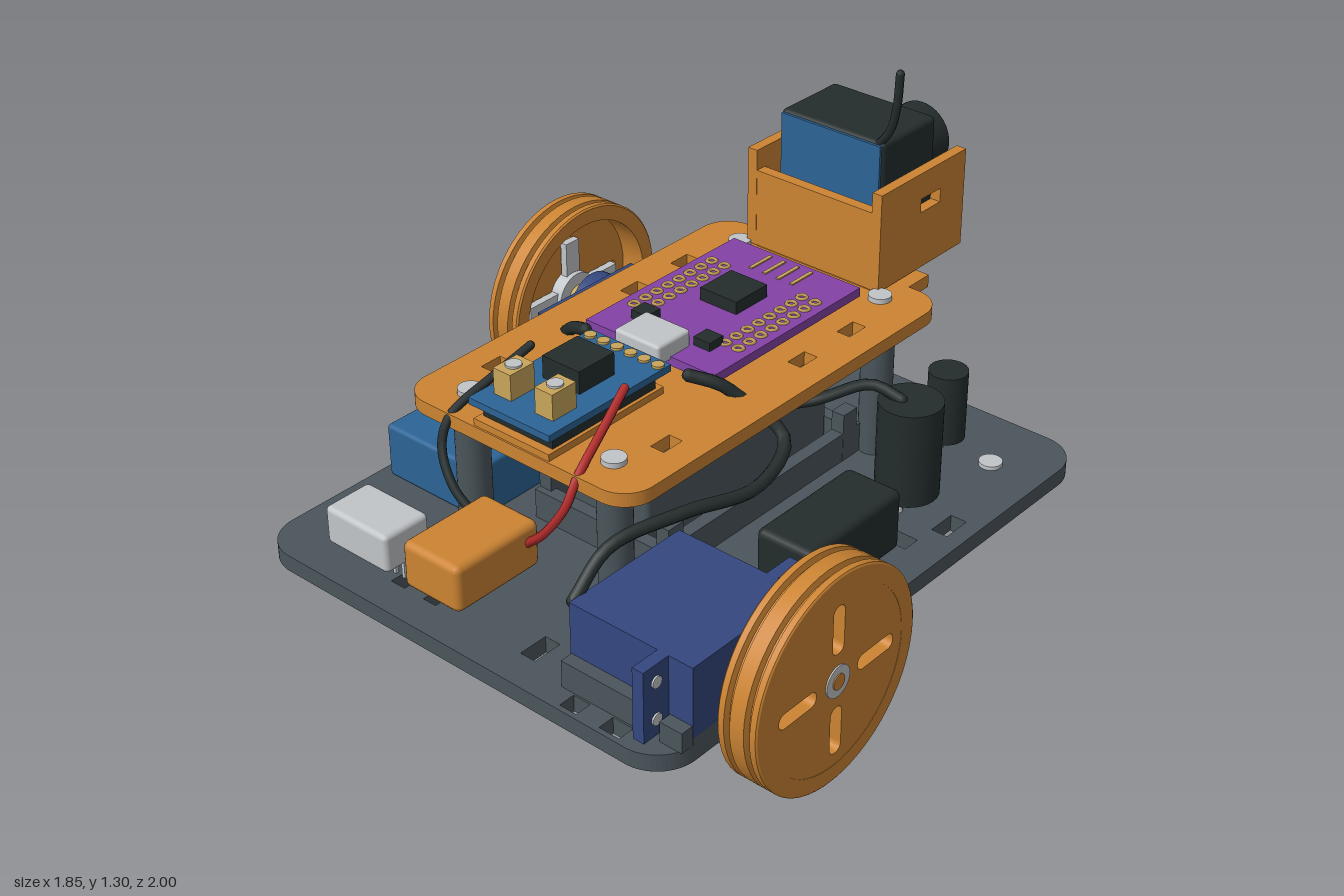
import * as THREE from 'three';
import { toCreasedNormals } from 'three/addons/utils/BufferGeometryUtils.js';
import { RoundedBoxGeometry } from 'three/addons/geometries/RoundedBoxGeometry.js';

const mat = (name, color) => Object.assign(new THREE.MeshStandardMaterial({ color }), { name });
const orange = mat('orange plastic', 0xcc8433), grey = mat('slate grey', 0x4a555b);
const black = mat('black', 0x242c2c), navy = mat('navy', 0x34477f);
const blue = mat('blue', 0x2c6496), purple = mat('purple', 0x8343a6);
const gold = mat('gold', 0xc9a55a), silver = mat('light grey', 0xc2c5c8), red = mat('red', 0xb02a2a);

export function createModel() {
  const root = new THREE.Group();
  root.name = 'roverRobot';

  function add(name, geo, material, parent = root) {
    const m = new THREE.Mesh(geo, material);
    m.name = name;
    parent.add(m);
    return m;
  }
  // Box given by its limits on each axis, optionally with rounded edges
  function box(name, material, x0, x1, y0, y1, z0, z1, r = 0, parent = root) {
    const s = [x1 - x0, y1 - y0, z1 - z0];
    const geo = r ? new RoundedBoxGeometry(...s, 2, r) : new THREE.BoxGeometry(...s);
    geo.translate((x0 + x1) / 2, (y0 + y1) / 2, (z0 + z1) / 2);
    return add(name, geo, material, parent);
  }
  function post(name, material, x, z, y0, y1, r, seg = 28, parent = root) {
    const geo = new THREE.CylinderGeometry(r, r, y1 - y0, seg);
    return add(name, geo.translate(x, (y0 + y1) / 2, z), material, parent);
  }
  function wire(name, material, r, ...pts) {
    const curve = new THREE.CatmullRomCurve3(pts.map(p => new THREE.Vector3(...p)));
    add(name, new THREE.TubeGeometry(curve, 36, r, 8), material);
    for (const p of [pts[0], pts[pts.length - 1]]) {
      add(name + 'End', new THREE.SphereGeometry(r, 8, 6).translate(...p), material);
    }
  }
  // Rectangle outline with rounded corners
  function outline(path, x0, x1, y0, y1, r) {
    path.moveTo(x0 + r, y0).lineTo(x1 - r, y0);
    path.absarc(x1 - r, y0 + r, r, -Math.PI / 2, 0);
    path.absarc(x1 - r, y1 - r, r, 0, Math.PI / 2);
    path.absarc(x0 + r, y1 - r, r, Math.PI / 2, Math.PI);
    path.absarc(x0 + r, y0 + r, r, Math.PI, Math.PI * 1.5);
    return path;
  }
  const rectHole = (x0, x1, y0, y1) => new THREE.Path([[x0, y0], [x0, y1], [x1, y1], [x1, y0], [x0, y0]]
    .map(p => new THREE.Vector2(...p)));
  // Horizontal plate; holes are [x0, x1, z0, z1]
  function plate(name, material, x0, x1, z0, z1, r, y0, y1, holes) {
    const shape = outline(new THREE.Shape(), x0, x1, -z1, -z0, r);
    for (const h of holes) shape.holes.push(rectHole(h[0], h[1], -h[3], -h[2]));
    const geo = new THREE.ExtrudeGeometry(shape, { depth: y1 - y0, bevelEnabled: false, curveSegments: 8 });
    return add(name, geo.rotateX(-Math.PI / 2).translate(0, y0, 0), material);
  }

  // Chassis
  plate('basePlate', grey, -0.72, 0.72, -0.84, 0.96, 0.12, 0.14, 0.19, [
    [-0.58, -0.47, -0.72, -0.67], [-0.57, -0.51, -0.63, -0.57], [-0.45, -0.39, -0.63, -0.57],
    [-0.53, -0.47, -0.08, -0.02], [-0.42, -0.36, -0.08, -0.02], [-0.715, -0.685, 0.25, 0.34],
    [0.52, 0.62, -0.185, -0.13], [0.62, 0.67, -0.34, -0.25], [0.62, 0.67, 0.04, 0.13],
    [0.51, 0.56, 0.34, 0.39], [0.38, 0.43, 0.34, 0.39], [-0.31, -0.26, 0.77, 0.86], [-0.19, -0.145, 0.77, 0.86],
    [0.16, 0.21, 0.77, 0.86], [0.375, 0.43, 0.895, 0.945], [0.505, 0.57, 0.895, 0.945],
  ]);
  const slots = [];
  for (const z of [-0.33, -0.12, 0.42]) slots.push([-0.32, -0.278, z, z + 0.07], [0.272, 0.315, z, z + 0.07]);
  plate('upperDeck', orange, -0.395, 0.395, -0.585, 0.71, 0.09, 0.63, 0.67, slots);
  box('deckTail', orange, -0.27, 0.27, 0.631, 0.669, -0.68, -0.58);
  for (const x of [-0.25, 0.25]) for (const z of [-0.48, 0.6]) {
    post('standoff', grey, x, z, 0.19, 0.63, 0.047);
    post('deckBolt', silver, x, z, 0.67, 0.685, 0.033);
  }

  // Ball casters on opposite corners
  for (const [x, z] of [[-0.56, 0.745], [0.555, -0.62]]) {
    post('casterCup', black, x, z, 0.1, 0.14, 0.095);
    add('casterBall', new THREE.SphereGeometry(0.088, 28, 18).translate(x, 0.093, z), black);
    post('casterBolt', silver, x, z, 0.19, 0.202, 0.034);
  }

  // Drive units: servo, bracket, horn and wheel, mirrored across x
  const rimProfile = [[0.255, 0], [0.3, 0], [0.305, 0.005], [0.305, 0.022], [0.288, 0.026], [0.288, 0.036], [0.305, 0.04],
    [0.305, 0.082], [0.288, 0.086], [0.288, 0.096], [0.305, 0.1], [0.305, 0.117], [0.3, 0.12], [0.255, 0.12], [0.255, 0]];
  function driveUnit(s, zAxis) {
    const g = new THREE.Group();
    g.name = s > 0 ? 'leftDrive' : 'rightDrive';
    g.position.z = zAxis;
    root.add(g);
    const part = (name, m, x0, x1, ...rest) =>
      box(name, m, Math.min(s * x0, s * x1), Math.max(s * x0, s * x1), ...rest, 0, g);
    const disc = (name, m, x0, x1, r, y = 0.31) => add(name, new THREE.CylinderGeometry(r, r, x1 - x0, 28)
      .rotateZ(Math.PI / 2).translate(s * (x0 + x1) / 2, y, 0), m, g);
    part('servoBody', navy, 0.325, 0.72, 0.21, 0.42, -0.11, 0.295);
    part('servoFlange', navy, 0.61, 0.645, 0.21, 0.42, -0.2, 0.385);
    disc('servoGearCap', navy, 0.71, 0.778, 0.1);
    for (const z of [-0.155, 0.34]) for (const y of [0.26, 0.37]) {
      add('flangeScrew', new THREE.CylinderGeometry(0.017, 0.017, 0.045, 12)
        .rotateZ(Math.PI / 2).translate(s * 0.6275, y, z), silver, g);
    }
    for (const [z0, z1] of [[-0.15, -0.112], [0.297, 0.335]]) {
      part('servoBracket', grey, 0.33, 0.605, 0.19, 0.27, z0, z1);
      part('servoBracketEnd', grey, 0.65, 0.72, 0.19, 0.25, z0, z1);
    }
    part('servoBase', grey, 0.33, 0.72, 0.19, 0.21, -0.11, 0.295);
    disc('servoShaft', gold, 0.77, 0.89, 0.036);

    // Wheel: hollow grooved rim closed by a slotted outer disc
    const wheel = new THREE.Group();
    wheel.name = 'wheel';
    wheel.position.set(s * 0.8, 0.31, 0);
    wheel.rotation.y = s * Math.PI / 2;
    g.add(wheel);
    const rim = new THREE.LatheGeometry(rimProfile.map(p => new THREE.Vector2(...p)), 56).rotateX(Math.PI / 2);
    add('wheelRim', toCreasedNormals(rim, 0.5), orange, wheel);
    const face = new THREE.Shape().absarc(0, 0, 0.26, 0, Math.PI * 2);
    for (const d of [-1, 1]) {
      const [a, b] = d > 0 ? [0.08, 0.22] : [-0.22, -0.08];
      face.holes.push(outline(new THREE.Path(), a, b, -0.022, 0.022, 0.02));
      face.holes.push(outline(new THREE.Path(), -0.022, 0.022, a, b, 0.02));
    }
    const faceGeo = new THREE.ExtrudeGeometry(face, { depth: 0.035, bevelEnabled: false, curveSegments: 28 });
    add('wheelFace', faceGeo.translate(0, 0, 0.084), orange, wheel);
    box('hornArm', silver, -0.19, 0.19, -0.028, 0.028, 0.055, 0.08, 0, wheel);
    box('hornArm', silver, -0.028, 0.028, -0.18, 0.18, 0.056, 0.079, 0, wheel);
    disc('hornHub', silver, 0.84, 0.882, 0.075);
    disc('hubCap', silver, 0.9, 0.923, 0.045);
    disc('hubScrew', orange, 0.92, 0.926, 0.022);
  }
  driveUnit(1, 0.555);
  driveUnit(-1, -0.42);

  // Battery and its cradle
  box('battery', grey, -0.14, 0.14, 0.19, 0.48, -0.4, 0.36, 0.015);
  for (const s of [-1, 1]) {
    const x = s * 0.21;
    box('cradleSide', grey, x - 0.02, x + 0.02, 0.19, 0.28, -0.42, 0.38);
    for (const z of [-0.42, 0.32]) box('cradlePost', grey, x - 0.021, x + 0.021, 0.19, 0.34, z, z + 0.06);
  }
  for (const z of [-0.44, 0.36]) box('cradleEnd', grey, -0.23, 0.23, 0.19, 0.28, z, z + 0.04);

  // Components on the chassis
  box('blueModule', blue, -0.685, -0.33, 0.19, 0.355, 0.07, 0.515, 0.012);
  box('whiteConnector', silver, -0.495, -0.265, 0.255, 0.37, 0.755, 0.91, 0.015);
  for (let i = 0; i < 6; i++) box('connectorPin', silver, -0.47 + i * 0.034, -0.46 + i * 0.034, 0.19, 0.26, 0.82, 0.83);
  box('orangePlug', orange, -0.1, 0.095, 0.35, 0.487, 0.71, 1, 0.02);
  box('blackModule', black, 0.43, 0.61, 0.195, 0.38, -0.12, 0.27, 0.02);
  post('largeCapacitor', black, 0.5, -0.295, 0.245, 0.53, 0.09);
  post('smallCapacitor', black, 0.395, -0.622, 0.22, 0.435, 0.057);
  for (const [x, z, d] of [[0.5, -0.295, 0.03], [0.395, -0.622, 0.02]]) {
    for (const s of [-1, 1]) post('capacitorLeg', silver, x, z + s * d, 0.18, 0.25, 0.01, 8);
  }

  // Purple controller board
  box('controllerBoard', purple, -0.225, 0.222, 0.69, 0.717, -0.425, 0.19);
  box('controllerSpacer', black, -0.19, 0.19, 0.67, 0.69, -0.38, 0.15);
  for (const x of [-0.185, -0.14, 0.135, 0.18]) for (let i = 0; i < 8; i++) {
    add('pinPad', new THREE.TorusGeometry(0.013, 0.006, 4, 12).rotateX(Math.PI / 2)
      .translate(x, 0.717, -0.28 + i * 0.046), gold);
  }
  for (let i = 0; i < 4; i++) box('goldTrace', gold, -0.08 + i * 0.048, -0.069 + i * 0.048, 0.715, 0.721, -0.405, -0.315);
  box('mainChip', black, -0.065, 0.062, 0.717, 0.755, -0.22, -0.09);
  for (const x of [-0.112, 0.107]) box('smallChip', black, x - 0.028, x + 0.028, 0.717, 0.742, 0.05, 0.105);
  box('usbSocket', silver, -0.08, 0.075, 0.705, 0.765, 0.11, 0.238, 0.01);

  // Blue driver board
  box('driverBoard', blue, -0.14, 0.138, 0.73, 0.75, 0.26, 0.71);
  box('driverHeader', black, -0.12, 0.12, 0.69, 0.73, 0.3, 0.68);
  box('driverMount', orange, -0.13, 0.13, 0.67, 0.69, 0.28, 0.705);
  for (let i = 0; i < 6; i++) post('driverPin', gold, -0.117 + i * 0.047, 0.288, 0.748, 0.757, 0.017, 12);
  box('driverChip', black, -0.065, 0.062, 0.75, 0.815, 0.39, 0.52);
  for (const x of [-0.074, 0.069]) {
    box('terminal', gold, x - 0.03, x + 0.03, 0.75, 0.825, 0.57, 0.655);
    post('terminalScrew', silver, x, 0.612, 0.822, 0.831, 0.022, 14);
  }

  // Rear camera in its open-backed cradle
  const side = rectHole(-0.885, -0.495, 0.675, 0.972);
  const wall = new THREE.Shape(side.getPoints().reverse());
  wall.holes.push(rectHole(-0.77, -0.68, 0.85, 0.892));
  for (const x of [-0.235, 0.2]) {
    const geo = new THREE.ExtrudeGeometry(wall, { depth: 0.032, bevelEnabled: false });
    add('cradleWall', geo.rotateY(-Math.PI / 2).translate(x + 0.032, 0, 0), orange);
  }
  box('cameraFloor', orange, -0.204, 0.201, 0.675, 0.705, -0.884, -0.496);
  box('cameraFrontWall', orange, -0.204, 0.201, 0.7, 0.91, -0.53, -0.496);
  box('cameraFoot', orange, -0.2, 0.2, 0.66, 0.68, -0.68, -0.5);
  box('cameraBody', black, -0.183, 0.175, 0.77, 1.08, -0.815, -0.572, 0.015);
  box('cameraBoard', blue, -0.174, 0.168, 0.78, 1.072, -0.573, -0.565);
  const lens = new THREE.CylinderGeometry(0.1, 0.1, 0.19, 36).rotateX(Math.PI / 2);
  add('lens', lens.translate(-0.004, 0.905, -0.905), black);
  add('lensGlass', new THREE.CylinderGeometry(0.075, 0.075, 0.004, 32).rotateX(Math.PI / 2)
    .translate(-0.004, 0.905, -1), grey);
  wire('antenna', black, 0.012, [0.15, 1.07, -0.585], [0.185, 1.12, -0.585], [0.207, 1.2, -0.58], [0.213, 1.295, -0.58]);

  // Cables
  wire('redLead', red, 0.012, [0.16, 0.78, 0.46], [0.19, 0.73, 0.57], [0.22, 0.66, 0.7], [0.215, 0.59, 0.74],
    [0.16, 0.5, 0.76], [0.085, 0.43, 0.75]);
  wire('blackLead', black, 0.012, [-0.165, 0.78, 0.46], [-0.19, 0.73, 0.57], [-0.22, 0.66, 0.7], [-0.215, 0.59, 0.74],
    [-0.16, 0.5, 0.76], [-0.09, 0.43, 0.75]);
  wire('rightServoCable', black, 0.018, [-0.18, 0.725, 0.24], [-0.24, 0.7, 0.22], [-0.29, 0.66, 0.2], [-0.38, 0.58, 0.13],
    [-0.4, 0.54, 0.05], [-0.32, 0.52, -0.05], [-0.31, 0.4, -0.15]);
  wire('leftServoCable', black, 0.018, [0.18, 0.725, 0.24], [0.24, 0.7, 0.19], [0.28, 0.66, 0.155], [0.4, 0.57, 0.12],
    [0.445, 0.52, 0.28], [0.39, 0.53, 0.5], [0.32, 0.5, 0.7], [0.31, 0.4, 0.82]);
  wire('batteryCable', black, 0.016, [-0.24, 0.43, 0.3], [-0.15, 0.51, 0.2], [0, 0.555, 0.1], [0.15, 0.51, 0],
    [0.3, 0.53, -0.12], [0.4, 0.56, -0.25], [0.48, 0.53, -0.28]);
  return root;
}
